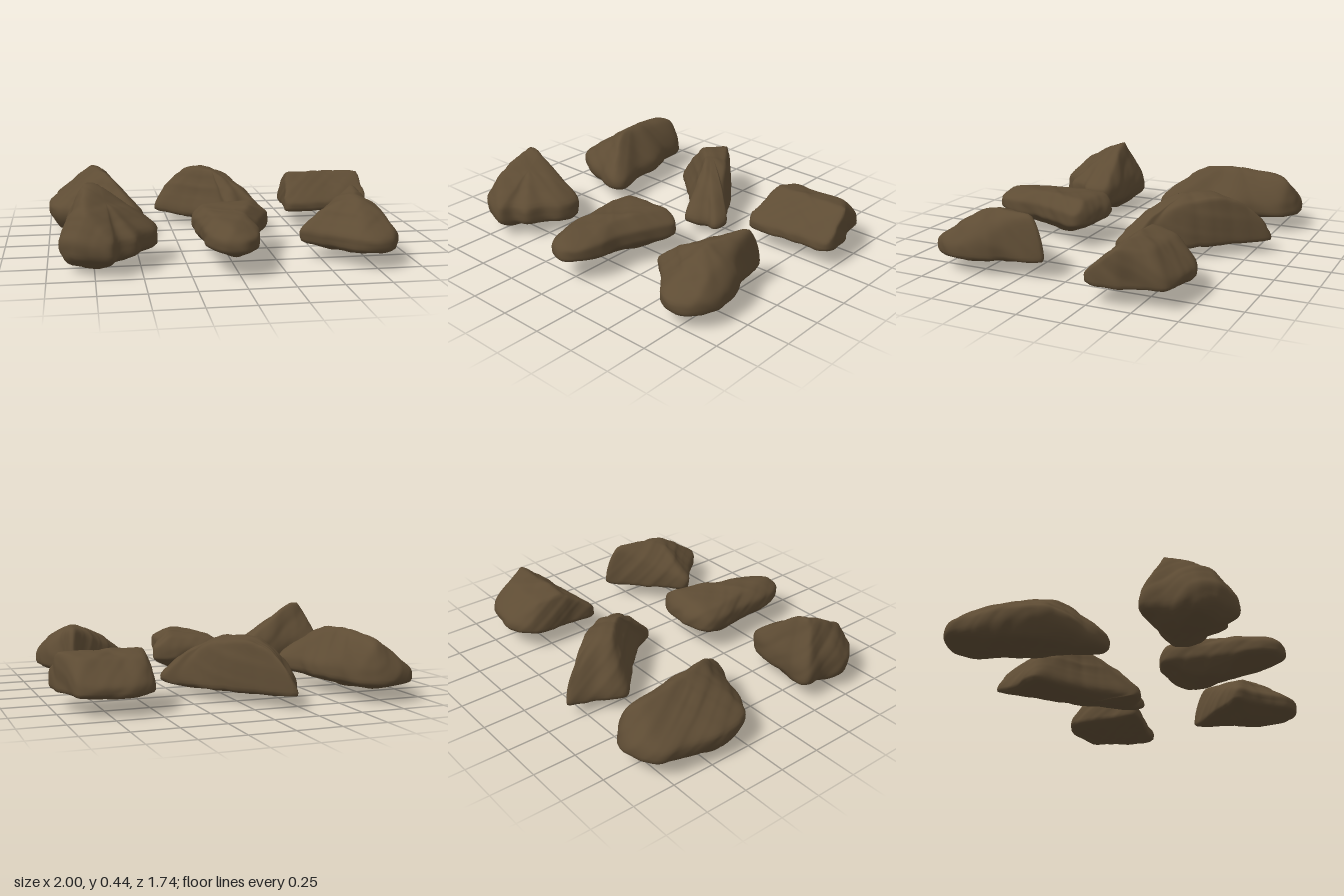
import * as THREE from 'three';
import { mergeVertices } from 'three/addons/utils/BufferGeometryUtils.js';
import { ConvexGeometry } from 'three/addons/geometries/ConvexGeometry.js';

// Each rock: plan outline [x, z], height band of its widest edge, and ridge / underside points [x, y, z]
const ROCKS = {
  backLeftRock: {
    edge: [0.1, 0.17],
    outline: [[-0.78, -0.87], [-0.68, -0.86], [-0.59, -0.77], [-0.57, -0.62], [-0.51, -0.48], [-0.5, -0.3], [-0.44, -0.07],
      [-0.48, -0.03], [-0.58, -0.05], [-0.68, -0.1], [-0.81, -0.14], [-0.95, -0.24], [-1, -0.4], [-0.97, -0.62], [-0.92, -0.8]],
    points: [[-0.65, 0.37, -0.28], [-0.7, 0.37, -0.45], [-0.74, 0.34, -0.74], [-0.68, 0.32, -0.8], [-0.54, 0.26, -0.11],
      [-0.94, 0.01, -0.38], [-0.88, 0.01, -0.26], [-0.7, 0.03, -0.45], [-0.75, 0.06, -0.75], [-0.55, 0.07, -0.1]],
  },
  backMiddleRock: {
    edge: [0.07, 0.12],
    outline: [[-0.2, -0.85], [-0.13, -0.77], [0, -0.62], [0.12, -0.47], [0.22, -0.3], [0.25, -0.25], [0.32, -0.17], [0.3, -0.08],
      [0.22, -0.1], [0.17, -0.06], [0.1, -0.05], [0.06, -0.14], [-0.03, -0.26], [-0.18, -0.4], [-0.33, -0.54], [-0.31, -0.62], [-0.25, -0.7]],
    points: [[-0.15, 0.35, -0.5], [-0.02, 0.35, -0.6], [-0.1, 0.31, -0.7], [-0.22, 0.27, -0.6], [0, 0.36, -0.35], [0.1, 0.33, -0.43],
      [0.1, 0.31, -0.24], [0.19, 0.27, -0.29], [0.22, 0.22, -0.16], [0, 0.03, -0.35], [0.2, 0.03, -0.15], [-0.2, 0.06, -0.62]],
  },
  backRightRock: {
    edge: [0.1, 0.16],
    outline: [[0.47, -0.2], [0.475, -0.35], [0.48, -0.5], [0.51, -0.64], [0.62, -0.7], [0.8, -0.69], [0.91, -0.65],
      [0.95, -0.5], [0.99, -0.38], [0.98, -0.23], [0.8, -0.22], [0.6, -0.19]],
    points: [[0.5, 0.32, -0.4], [0.75, 0.32, -0.41], [0.97, 0.32, -0.41], [0.55, 0.29, -0.55], [0.88, 0.29, -0.55],
      [0.6, 0.06, -0.4], [0.8, 0.06, -0.45], [0.7, 0.07, -0.6]],
  },
  frontLeftRock: {
    edge: [0.1, 0.2],
    outline: [[-0.9, 0.28], [-0.8, 0.26], [-0.7, 0.29], [-0.52, 0.29], [-0.41, 0.34], [-0.41, 0.47], [-0.49, 0.54],
      [-0.53, 0.64], [-0.62, 0.67], [-0.66, 0.74], [-0.75, 0.72], [-0.88, 0.65], [-0.93, 0.54], [-0.9, 0.42]],
    points: [[-0.8, 0.44, 0.37], [-0.73, 0.44, 0.36], [-0.8, 0.35, 0.6], [-0.88, 0.27, 0.55], [-0.86, 0.3, 0.34], [-0.57, 0.31, 0.36],
      [-0.6, 0.26, 0.56], [-0.88, 0.04, 0.58], [-0.72, 0.04, 0.66], [-0.8, 0.02, 0.45], [-0.7, 0, 0.38], [-0.55, 0.06, 0.48]],
  },
  frontMiddleRock: {
    edge: [0.14, 0.22],
    outline: [[-0.02, 0.12], [0.05, 0.14], [0.15, 0.14], [0.25, 0.2], [0.2, 0.36], [0.13, 0.54], [0.12, 0.68], [0.08, 0.8],
      [0, 0.86], [-0.1, 0.82], [-0.16, 0.7], [-0.17, 0.45], [-0.19, 0.28], [-0.17, 0.18]],
    points: [[-0.14, 0.27, 0.2], [0.16, 0.29, 0.2], [-0.12, 0.28, 0.5], [0.08, 0.29, 0.5], [-0.05, 0.275, 0.77],
      [-0.1, 0.05, 0.35], [0.12, 0.06, 0.3], [-0.02, 0.06, 0.62], [-0.02, 0.1, 0.77]],
  },
  frontRightRock: {
    edge: [0.1, 0.17],
    outline: [[0.78, 0.11], [0.8, 0.2], [0.81, 0.3], [0.87, 0.42], [0.9, 0.6], [0.84, 0.75], [0.75, 0.79], [0.66, 0.78],
      [0.57, 0.68], [0.47, 0.57], [0.38, 0.49], [0.46, 0.4], [0.58, 0.28], [0.7, 0.18]],
    points: [[0.76, 0.35, 0.18], [0.74, 0.34, 0.38], [0.7, 0.34, 0.52], [0.82, 0.27, 0.6], [0.55, 0.29, 0.48], [0.46, 0.23, 0.48],
      [0.65, 0.04, 0.5], [0.8, 0.06, 0.6], [0.74, 0.08, 0.22]],
  },
};

const COLUMNS = 110, ROWS = 40, SHARPNESS = 30;

// Smooth lumps over a rock's surface
function bump(p) {
  const wave = (f, a) => Math.sin(p.x * f + p.y * f * 0.7 + a) * Math.cos(p.z * f * 1.1 - p.y * f * 0.8 + a * 2);
  return 0.005 * wave(22, 1) + 0.003 * wave(41, 2) + 0.001 * wave(80, 4);
}

function rockGeometry({ outline, edge, points }) {
  const ys = points.map((p) => p[1]);
  const top = Math.max(...ys), bottom = Math.min(...ys);
  const curve = new THREE.CatmullRomCurve3(outline.map(([x, z]) => new THREE.Vector3(x, 0, z)), true, 'centripetal');
  const rim = curve.getSpacedPoints(COLUMNS).slice(0, COLUMNS);
  const centre = rim.reduce((sum, p) => sum.add(p), new THREE.Vector3()).divideScalar(COLUMNS);
  centre.y = (top + bottom) / 2;

  // Facet planes of the rough block
  const hull = new ConvexGeometry([
    ...edge.flatMap((y) => outline.map(([x, z]) => new THREE.Vector3(x, y, z))),
    ...points.map((p) => new THREE.Vector3(...p)),
  ]);
  const hp = hull.attributes.position, hn = hull.attributes.normal, planes = [];
  for (let i = 0; i < hp.count; i += 3) {
    const normal = new THREE.Vector3().fromBufferAttribute(hn, i);
    const distance = new THREE.Vector3().fromBufferAttribute(hp, i).sub(centre).dot(normal);
    if (distance > 0.005 && !planes.some((q) => q.normal.dot(normal) > 0.9995)) planes.push({ normal, distance });
  }

  // Columns run up the rock; each is worn at the facet edges and fitted to the outline, less so towards the top
  const verts = [];
  for (const r of rim) {
    const column = [];
    let reach = 0;
    for (let j = 0; j <= ROWS; j++) {
      const a = Math.PI * (j / ROWS - 0.5);
      const c = j % ROWS === 0 ? 0 : Math.cos(a);
      const d = new THREE.Vector3((r.x - centre.x) * c, Math.sin(a) * (top - bottom) / 2, (r.z - centre.z) * c);
      let sum = 0;
      for (const q of planes) sum += Math.max(0, q.normal.dot(d) / q.distance) ** SHARPNESS;
      const t = sum ** (-1 / SHARPNESS);
      reach = Math.max(reach, t * c);
      column.push({ v: d.multiplyScalar(t), c });
    }
    for (const { v, c } of column) {
      const fit = THREE.MathUtils.lerp(1, 1 / reach, c);
      v.x *= fit;
      v.z *= fit;
      const out = v.clone().normalize();
      verts.push(v.add(centre).addScaledVector(out, bump(v)));
    }
  }

  // Restore the full height lost to rounding
  let high = -1, low = 1;
  for (const v of verts) { high = Math.max(high, v.y); low = Math.min(low, v.y); }
  for (const v of verts) v.y = bottom + (v.y - low) / (high - low) * (top - bottom);

  const index = [];
  for (let i = 0; i < COLUMNS; i++) {
    const a = i * (ROWS + 1), b = ((i + 1) % COLUMNS) * (ROWS + 1);
    for (let j = 0; j < ROWS; j++) {
      if (j > 0) index.push(a + j, a + j + 1, b + j);
      if (j < ROWS - 1) index.push(b + j, a + j + 1, b + j + 1);
    }
  }
  const raw = new THREE.BufferGeometry().setFromPoints(verts);
  raw.setIndex(index);
  const geometry = mergeVertices(raw, 1e-5);
  geometry.computeVertexNormals();
  return geometry;
}

export function createModel() {
  const group = new THREE.Group();
  group.name = 'rocks';
  const stone = new THREE.MeshStandardMaterial({ color: 0x5e4c34 });
  stone.name = 'brown stone';
  for (const [name, rock] of Object.entries(ROCKS)) {
    const mesh = new THREE.Mesh(rockGeometry(rock), stone);
    mesh.name = name;
    group.add(mesh);
  }
  return group;
}
